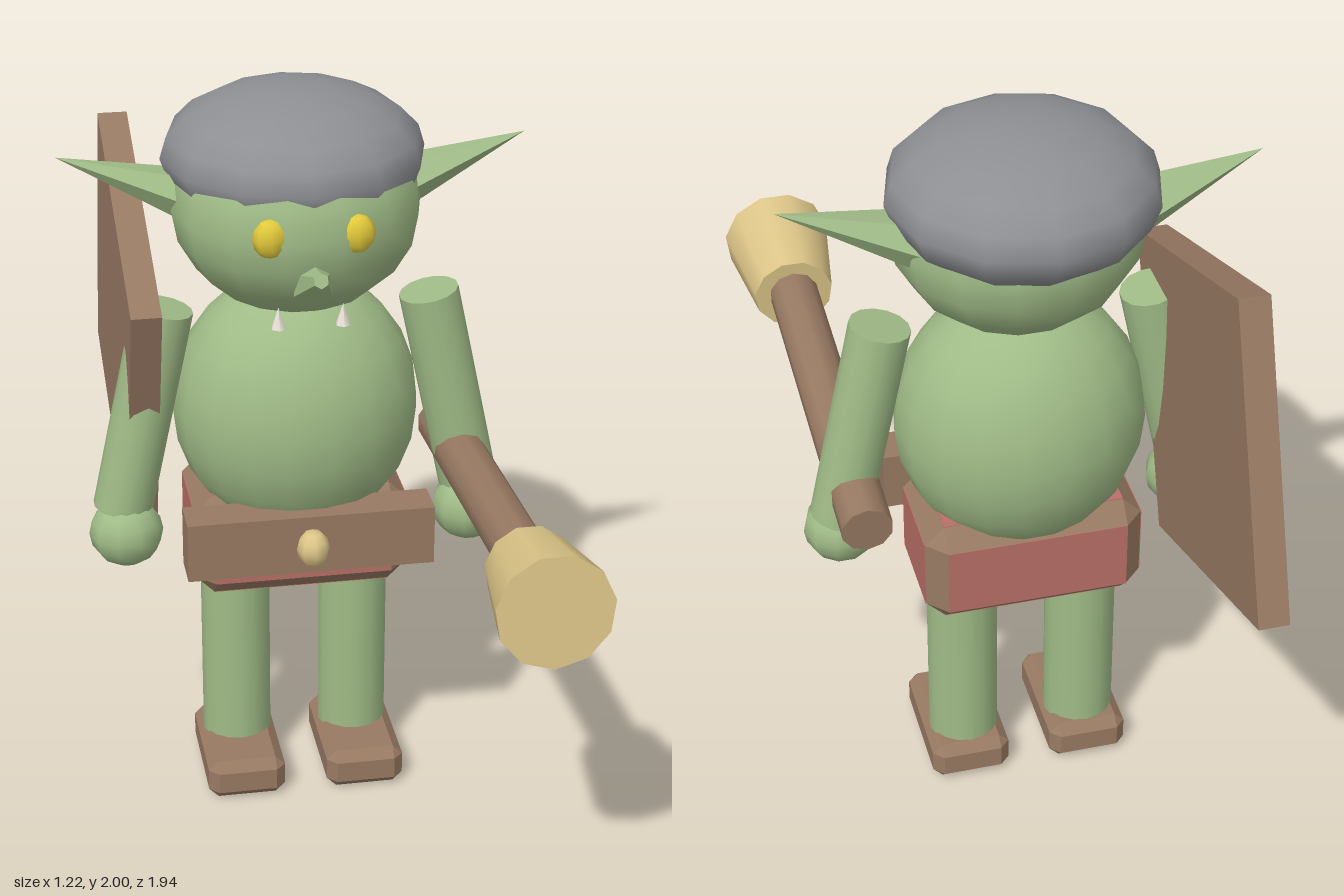
import * as THREE from 'three';
import { ConvexGeometry } from 'three/addons/geometries/ConvexGeometry.js';

const mat = (color, extra = {}) => new THREE.MeshStandardMaterial({ color, ...extra });
const GREEN = 0xa0bb87, BROWN = 0x987a63, TAN = 0xdcc588, RED = 0xb96f68;
const GREY = 0x8e8f93, YELLOW = 0xe3cb3c, IVORY = 0xece6da;

export function createModel() {
  const model = new THREE.Group();

  const add = (name, geometry, material, x = 0, y = 0, z = 0) => {
    const mesh = new THREE.Mesh(geometry, material);
    mesh.name = name;
    mesh.position.set(x, y, z);
    model.add(mesh);
    return mesh;
  };

  const ball = (name, color, [x, y, z], [rx, ry, rz], w = 12, h = 8) =>
    add(name, new THREE.SphereGeometry(1, w, h).scale(rx, ry, rz), mat(color), x, y, z);

  // Tapered cylinder running from a to b
  const stick = (name, color, a, b, ra, rb, sides, flat = false) => {
    const from = new THREE.Vector3(...a), to = new THREE.Vector3(...b);
    const dir = to.clone().sub(from);
    const mid = from.clone().add(to).multiplyScalar(0.5);
    const mesh = add(name, new THREE.CylinderGeometry(rb, ra, dir.length(), sides),
      mat(color, { flatShading: flat }), mid.x, mid.y, mid.z);
    mesh.quaternion.setFromUnitVectors(new THREE.Vector3(0, 1, 0), dir.normalize());
    return mesh;
  };

  // Box with a single flat bevel on every edge
  const bevelBox = (name, color, [x, y, z], [w, h, d], b) => {
    const pts = [];
    for (const sx of [-1, 1]) for (const sy of [-1, 1]) for (const sz of [-1, 1]) {
      for (let k = 0; k < 3; k++) {
        pts.push(new THREE.Vector3(
          sx * (w / 2 - (k === 0 ? 0 : b)),
          sy * (h / 2 - (k === 1 ? 0 : b)),
          sz * (d / 2 - (k === 2 ? 0 : b))));
      }
    }
    return add(name, new ConvexGeometry(pts), mat(color, { flatShading: true }), x, y, z);
  };

  // Head and torso
  ball('torso', GREEN, [0, 1.13, -0.14], [0.33, 0.37, 0.29], 18, 12);
  ball('head', GREEN, [0, 1.70, -0.115], [0.325, 0.28, 0.305], 14, 10);

  // Cap: smooth dome with a band tucked in below it
  const cap = (name, rows, start, length) => add(name,
    new THREE.SphereGeometry(1, 12, rows, 0, Math.PI * 2, start, length).scale(0.345, 0.18, 0.345),
    mat(GREY, { side: THREE.DoubleSide }), 0, 1.82, -0.17);
  cap('capDome', 5, 0, Math.PI / 2);
  cap('capBand', 1, Math.PI / 2, 0.76);

  // Nose
  stick('nose', GREEN, [0, 1.575, 0.13], [0, 1.638, 0.26], 0.056, 0.02, 6, true);

  // Mirrored parts
  for (const s of [-1, 1]) {
    const side = s > 0 ? 'left' : 'right';
    stick(side + 'Ear', GREEN, [s * 0.26, 1.715, -0.17], [s * 0.61, 1.84, -0.17], 0.07, 0, 6, true).scale.z = 1.35;
    ball(side + 'Eye', YELLOW, [s * 0.11, 1.715, 0.155], [0.046, 0.052, 0.03], 8, 6);
    stick(side + 'Tusk', IVORY, [s * 0.083, 1.452, 0.11], [s * 0.083, 1.51, 0.11], 0.02, 0, 6);
    stick(side + 'Arm', GREEN, [s * 0.475, 0.86, -0.11], [s * 0.352, 1.435, -0.11], 0.08, 0.08, 14);
    ball(side + 'Hand', GREEN, [s * 0.47, 0.8, -0.085], [0.1, 0.095, 0.097], 10, 8);
    stick(side + 'Leg', GREEN, [s * 0.165, 0.06, -0.167], [s * 0.165, 0.7, -0.167], 0.096, 0.096, 16);
    bevelBox(side + 'Shoe', BROWN, [s * 0.167, 0.0575, -0.112], [0.215, 0.115, 0.355], 0.027);
  }

  // Trousers: bevelled brown block with red panels on its faces
  const size = [0.58, 0.295, 0.355], centre = [0, 0.7625, -0.168], bevel = 0.05;
  bevelBox('trousers', BROWN, centre, size, bevel);
  for (let axis = 0; axis < 3; axis++) {
    const dims = size.map((v, i) => (i === axis ? v + 0.004 : v - 2 * bevel));
    add('trouserPanel', new THREE.BoxGeometry(...dims), mat(RED), ...centre);
  }

  // Belt and buckle
  add('belt', new THREE.BoxGeometry(0.66, 0.165, 0.11), mat(BROWN), 0, 0.832, 0.078);
  ball('buckle', TAN, [0, 0.832, 0.152], [0.044, 0.052, 0.048], 8, 6);

  // Club in the left hand
  stick('clubHandle', BROWN, [0.44, 0.95, -0.305], [0.44, 1.037, 0.72], 0.068, 0.068, 10);
  stick('clubHead', TAN, [0.44, 1.03, 0.685], [0.44, 1.055, 0.955], 0.11, 0.148, 11);

  // Tilted square shield on the right arm
  const shield = add('shield', new THREE.BoxGeometry(0.08, 0.82, 0.82), mat(BROWN), -0.415, 1.245, -0.445);
  shield.rotation.x = 0.35;

  return model;
}
